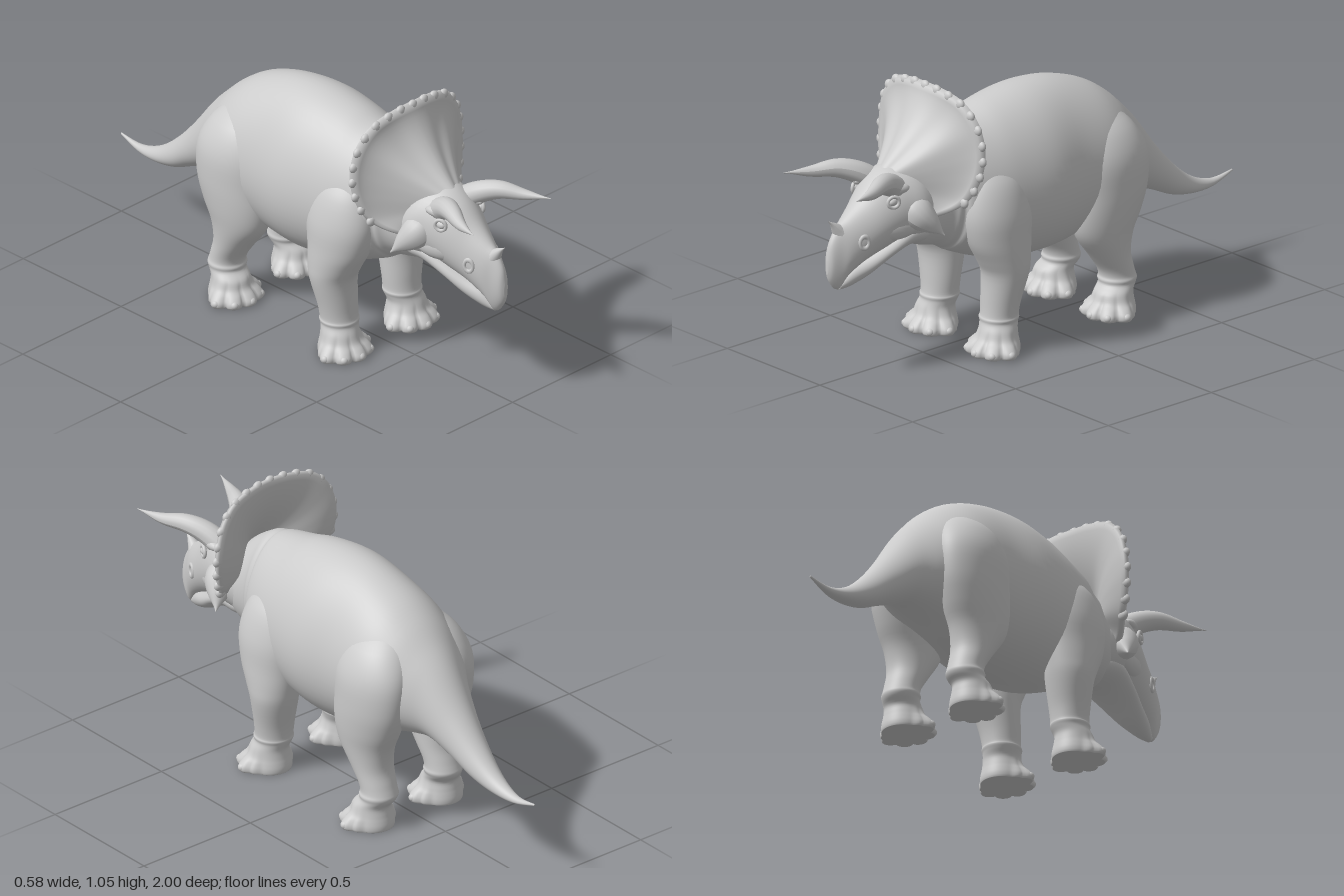
import * as THREE from 'three';

const mat = new THREE.MeshStandardMaterial({ color: 0xcccccc, roughness: 0.8 });
const V = (x, y, z) => new THREE.Vector3(x, y, z);
const TAU = Math.PI * 2;

function add(parent, name, geo) {
  const m = new THREE.Mesh(geo, mat);
  m.name = name;
  parent.add(m);
  return m;
}

// Smooth skin over a list of closed rings of points
function skin(rings) {
  const n = rings[0].length, pos = [], idx = [];
  rings.forEach(r => r.forEach(p => pos.push(p.x, p.y, p.z)));
  for (let i = 0; i < rings.length - 1; i++) {
    for (let j = 0; j < n; j++) {
      const a = i * n + j, b = i * n + (j + 1) % n;
      idx.push(a, a + n, b, b, a + n, b + n);
    }
  }
  const g = new THREE.BufferGeometry();
  g.setAttribute('position', new THREE.Float32BufferAttribute(pos, 3));
  g.setIndex(idx);
  g.computeVertexNormals();
  return g;
}

// Catmull-Rom resampling of rows of numbers
function resample(rows, per) {
  const out = [], last = rows.length - 1;
  const at = i => rows[Math.min(Math.max(i, 0), last)];
  for (let s = 0; s <= last * per; s++) {
    const i = Math.min(Math.floor(s / per), last - 1), t = s / per - i;
    out.push(rows[0].map((_, k) => {
      const a = at(i - 1)[k], b = at(i)[k], c = at(i + 1)[k], d = at(i + 2)[k];
      return b + 0.5 * t * (c - a + t * (2 * a - 5 * b + 4 * c - d + t * (3 * (b - c) + d - a)));
    }));
  }
  return out;
}

// Close a list of rings with a point at both ends
function capped(rings) {
  const mid = r => {
    const c = r.reduce((s, p) => s.add(p), V(0, 0, 0)).divideScalar(r.length);
    return r.map(() => c);
  };
  return skin([mid(rings[0]), ...rings, mid(rings[rings.length - 1])]);
}

// Loft along z, rows of [z, top, bottom, half width]; taper narrows the top
function loftZ(rows, taper = 0, n = 40) {
  return capped(resample(rows, 5).map(([z, top, bot, w]) =>
    Array.from({ length: n }, (_, j) => {
      const c = Math.cos(j / n * TAU), s = Math.sin(j / n * TAU);
      return V(w * c * (1 - taper * s), (top + bot) / 2 + (top - bot) / 2 * s, z);
    })));
}

// Tapered spike along a curve
function spike(points, radii) {
  const curve = new THREE.CatmullRomCurve3(points), seg = 24, rs = 16;
  const g = new THREE.TubeGeometry(curve, seg, 1, rs);
  const p = g.attributes.position, v = V(0, 0, 0);
  const rad = resample(radii.map(r => [r]), seg);
  for (let i = 0; i < p.count; i++) {
    const t = Math.floor(i / (rs + 1)) / seg, c = curve.getPointAt(t);
    const r = rad[Math.round(t * (rad.length - 1))][0];
    v.fromBufferAttribute(p, i).sub(c).multiplyScalar(Math.max(r, 0.0005)).add(c);
    p.setXYZ(i, v.x, v.y, v.z);
  }
  g.computeVertexNormals();
  return g;
}

function ball(parent, name, x, y, z, rx, ry, rz, turn = 0) {
  const m = add(parent, name, new THREE.SphereGeometry(1, 18, 12));
  m.position.set(x, y, z);
  m.scale.set(rx, ry, rz);
  m.rotation.y = turn;
}

// Leg and foot in one loft, rows of [y, x, z, radius x, radius z];
// below the ankle the front swells into five toe lobes
function leg(parent, name, rows, side, fx, fz) {
  const g = new THREE.Group(), n = 80, gap = 0.64;
  g.name = name;
  parent.add(g);
  const foot = [[.09, .07, .06], [.06, .073, .3], [.04, .077, .7], [.022, .08, .97], [.008, .08, 1], [0, .078, .9]]
    .map(([y, r, flare]) => [y, fx, fz, r, r, flare]);
  const all = resample([...rows.map(r => [...r, 0]), ...foot], 4);
  add(g, 'legAndFoot', capped(all.map(([y, x, z, rx, rz, flare]) =>
    Array.from({ length: n }, (_, j) => {
      const t = j / n * TAU, front = Math.abs(Math.atan2(Math.cos(t), -Math.sin(t)));
      const reach = 1 - THREE.MathUtils.smoothstep(front, 1.3, 2.1);
      const lobe = Math.sqrt(Math.abs(Math.cos(Math.PI * front / gap)));
      const out = flare * reach * (0.016 + 0.026 * lobe);
      return V(side * x + (rx + out) * Math.cos(t), Math.max(y, 0), z - (rz + out) * Math.sin(t));
    }))));
  for (let k = -2; k <= 2; k++) {
    const a = k * gap;
    ball(g, 'toenail', side * fx + Math.sin(a) * 0.108, 0.016, fz + Math.cos(a) * 0.108, 0.017, 0.016, 0.018, a);
  }
}

// Flared frill with a shallow hollow each side of the middle ridge
function frill(parent) {
  const half = [[.07, .56, .62], [.155, .59, .575], [.226, .645, .51], [.266, .74, .478], [.272, .84, .468],
    [.243, .935, .474], [.182, .997, .485], [.09, 1.024, .495]].map(p => V(...p));
  const rim = new THREE.CatmullRomCurve3([
    ...half.map(p => V(-p.x, p.y, p.z)), V(0, 1.03, .5), ...half.slice().reverse()]);
  const steps = 16, rings = [];
  for (let i = 0; i <= 120; i++) {
    const e = rim.getPointAt(i / 120), ring = [];
    const phi = Math.abs(Math.atan2(e.x, e.y - 0.7));
    const hollow = 0.018 * Math.exp(-(((phi - 0.45) / 0.25) ** 2));
    const at = (r, z0, z1, p) => V(e.x * r, 0.7 + (e.y - 0.7) * r, z0 + (z1 - z0) * (1 - r) ** p);
    for (let j = 0; j <= steps; j++) {
      const q = at(j / steps, e.z, 0.77, 1.5);
      q.z -= hollow * Math.sin(Math.PI * j / steps);
      ring.push(q);
    }
    ring.push(at(1.03, e.z - 0.012, 0.7, 1));
    for (let j = steps; j >= 0; j--) ring.push(at(j / steps, e.z - 0.026, 0.62, 2));
    rings.push(ring);
  }
  add(parent, 'frill', skin(rings));
  for (let k = 0; k < 21; k++) {
    const e = rim.getPointAt(0.13 + 0.74 * k / 20);
    ball(parent, 'frillKnob', e.x * 0.99, e.y - 0.003, e.z - 0.012, 0.021, 0.02, 0.014);
  }
}

export function createModel() {
  const model = new THREE.Group();
  model.name = 'hornedDinosaur';

  // Neck, trunk and tail in one loft
  add(model, 'bodyAndTail', loftZ([
    [.64, .68, .475, .07], [.56, .77, .437, .125], [.48, .828, .415, .137], [.45, .842, .402, .152],
    [.43, .845, .392, .155], [.405, .855, .375, .182], [.3, .88, .33, .217],
    [.2, .91, .30, .235], [.05, .93, .281, .25], [-.1, .92, .288, .234], [-.25, .873, .33, .23],
    [-.35, .813, .365, .203], [-.43, .74, .385, .157], [-.5, .667, .388, .115], [-.6, .54, .35, .08],
    [-.7, .43, .305, .057], [-.8, .35, .285, .036], [-.9, .315, .286, .017], [-1, .325, .317, .003]], 0.1, 56));

  const head = new THREE.Group();
  head.name = 'head';
  model.add(head);
  // Skull with hooked upper beak
  add(head, 'skull', loftZ([
    [.965, .47, .42, .006], [.953, .53, .385, .022], [.92, .585, .35, .038], [.885, .612, .39, .056],
    [.82, .665, .43, .08], [.75, .732, .455, .106], [.68, .768, .475, .128], [.6, .765, .47, .147],
    [.5, .71, .46, .12]], 0.04));
  add(head, 'lowerJaw', loftZ([
    [.915, .37, .347, .014], [.87, .42, .35, .038], [.80, .46, .375, .064], [.72, .51, .422, .09],
    [.64, .56, .452, .108], [.56, .56, .452, .105], [.48, .54, .47, .05]], -0.1));
  add(head, 'noseHorn', spike(
    [V(0, .49, .84), V(0, .555, .895), V(0, .6, .935), V(0, .622, .96)], [.03, .042, .022, .001]));
  frill(head);

  for (const s of [1, -1]) {
    const side = s > 0 ? 'left' : 'right';
    add(head, side + 'BrowHorn', spike([V(s * .04, .66, .64), V(s * .083, .733, .74), V(s * .12, .757, .81),
      V(s * .162, .755, .9), V(s * .196, .764, 1)], [.045, .043, .035, .02, .001]));
    add(head, side + 'CheekSpike', spike([V(s * .05, .65, .64), V(s * .115, .6, .625),
      V(s * .155, .56, .595), V(s * .19, .522, .565)], [.04, .062, .04, .002]));
    // Eye, lids and brow
    ball(head, side + 'Eye', s * .1, .668, .735, .014, .015, .02);
    const lid = add(head, side + 'Eyelid', new THREE.TorusGeometry(.021, .007, 10, 24));
    lid.position.set(s * .105, .668, .736);
    lid.rotation.y = s * 1.15;
    ball(head, side + 'Brow', s * .085, .707, .715, .026, .022, .06, s * -0.3);
    ball(head, side + 'CheekBulge', s * .08, .56, .71, .035, .05, .1, s * -0.3);
    // Nostril ring
    const nostril = add(head, side + 'Nostril', new THREE.TorusGeometry(.017, .007, 10, 24));
    nostril.position.set(s * .069, .53, .845);
    nostril.rotation.y = s * 1.2;
    nostril.scale.y = 1.35;

    leg(model, side + 'FrontLeg', [
      [.76, .09, .28, .03, .04], [.67, .132, .28, .085, .115], [.55, .155, .283, .104, .145],
      [.44, .165, .28, .1, .13], [.36, .172, .265, .094, .105], [.3, .172, .257, .09, .087],
      [.2, .163, .268, .077, .073], [.145, .16, .273, .071, .07], [.13, .16, .275, .074, .073],
      [.115, .161, .277, .07, .07]], s, .168, .285);
    leg(model, side + 'HindLeg', [
      [.79, .08, -.25, .04, .06], [.72, .113, -.26, .095, .125], [.62, .145, -.268, .111, .162],
      [.5, .155, -.266, .106, .162], [.4, .155, -.25, .098, .148], [.32, .153, -.242, .087, .12],
      [.24, .15, -.266, .077, .083], [.18, .15, -.295, .07, .068], [.148, .15, -.306, .069, .067],
      [.132, .151, -.306, .073, .071], [.115, .153, -.303, .069, .068]], s, .16, -.283);
  }
  return model;
}
